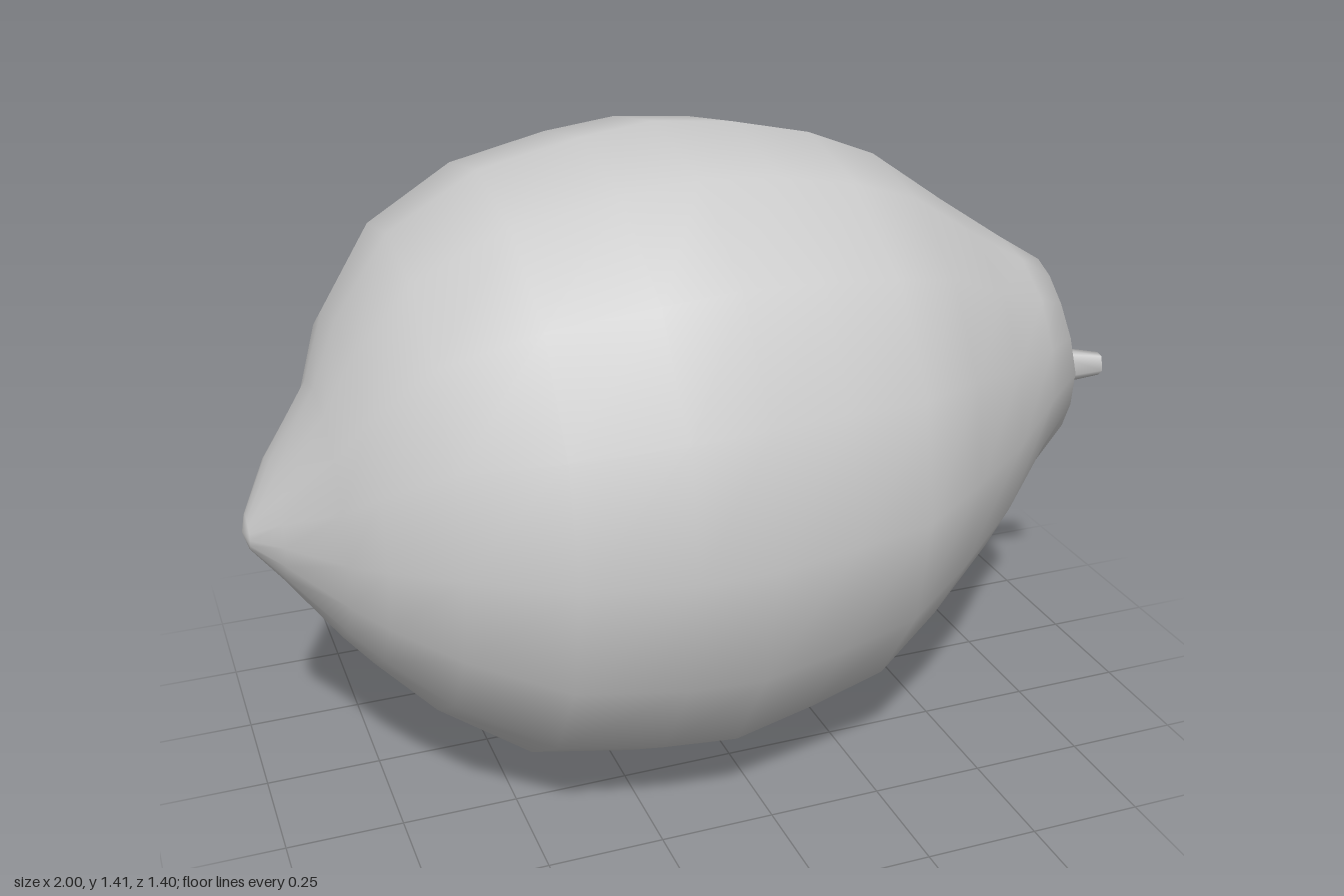
import * as THREE from 'three';

const SIDES = 16;

// Cross-sections along the fruit: x, top y, bottom y, back z, front z
const SECTIONS = [
  [-0.99, 0.68, 0.61, 0.00, 0.09],
  [-0.93, 0.78, 0.53, -0.13, 0.17],
  [-0.83, 0.94, 0.40, -0.23, 0.32],
  [-0.77, 1.06, 0.32, -0.41, 0.41],
  [-0.65, 1.23, 0.19, -0.55, 0.53],
  [-0.46, 1.345, 0.06, -0.64, 0.64],
  [-0.24, 1.39, 0.02, -0.70, 0.69],
  [-0.08, 1.41, 0.00, -0.705, 0.695],
  [0.10, 1.39, 0.035, -0.705, 0.67],
  [0.27, 1.355, 0.09, -0.65, 0.645],
  [0.43, 1.29, 0.19, -0.575, 0.55],
  [0.60, 1.17, 0.32, -0.43, 0.42],
  [0.75, 1.07, 0.48, -0.28, 0.29],
];
const RIM = [1.01, 0.58, -0.16, 0.21];

// Slanted, slightly drooping face at the stem end
const rimX = (y, z) => 0.895 - 0.2 * z - 0.22 * Math.max(0, y - 0.81);

function buildFruit() {
  const positions = [];
  const indices = [];

  const addRing = ([top, bottom, back, front], xAt, scale = 1) => {
    for (let j = 0; j < SIDES; j++) {
      const a = (j / SIDES) * Math.PI * 2;
      const y = (top + bottom) / 2 + ((top - bottom) / 2) * scale * Math.cos(a);
      const z = (back + front) / 2 + ((front - back) / 2) * scale * Math.sin(a);
      positions.push(xAt(y, z), y, z);
    }
  };

  for (const [x, ...extent] of SECTIONS) addRing(extent, () => x);
  addRing(RIM, rimX);
  // Shallow dimple around the stem
  addRing(RIM, (y, z) => rimX(y, z) - 0.01, 0.5);

  const rings = SECTIONS.length + 2;
  for (let i = 0; i < rings - 1; i++) {
    for (let j = 0; j < SIDES; j++) {
      const k = (j + 1) % SIDES;
      const a = i * SIDES + j, b = i * SIDES + k;
      indices.push(a, b, a + SIDES, b, b + SIDES, a + SIDES);
    }
  }

  // Close both ends with a centre point
  const tip = rings * SIDES, dimple = tip + 1, last = (rings - 1) * SIDES;
  positions.push(-1, 0.645, 0.045, 0.875, 0.77, 0.04);
  for (let j = 0; j < SIDES; j++) {
    const k = (j + 1) % SIDES;
    indices.push(tip, k, j, dimple, last + j, last + k);
  }

  const geometry = new THREE.BufferGeometry();
  geometry.setAttribute('position', new THREE.Float32BufferAttribute(positions, 3));
  geometry.setIndex(indices);
  geometry.computeVertexNormals();
  return geometry;
}

export function createModel() {
  const group = new THREE.Group();
  group.name = 'lemon';
  const material = new THREE.MeshStandardMaterial({ color: 0xcccccc });

  const fruit = new THREE.Mesh(buildFruit(), material);
  fruit.name = 'fruit';
  group.add(fruit);

  // Short tapered stem stub
  const base = new THREE.Vector3(0.86, 0.755, 0.06);
  const end = new THREE.Vector3(0.99, 0.757, 0.095);
  const axis = end.clone().sub(base);
  const stem = new THREE.Mesh(new THREE.CylinderGeometry(0.028, 0.052, axis.length(), 5), material);
  stem.name = 'stem';
  stem.position.copy(base).add(end).multiplyScalar(0.5);
  stem.quaternion.setFromUnitVectors(new THREE.Vector3(0, 1, 0), axis.normalize());
  group.add(stem);

  return group;
}
